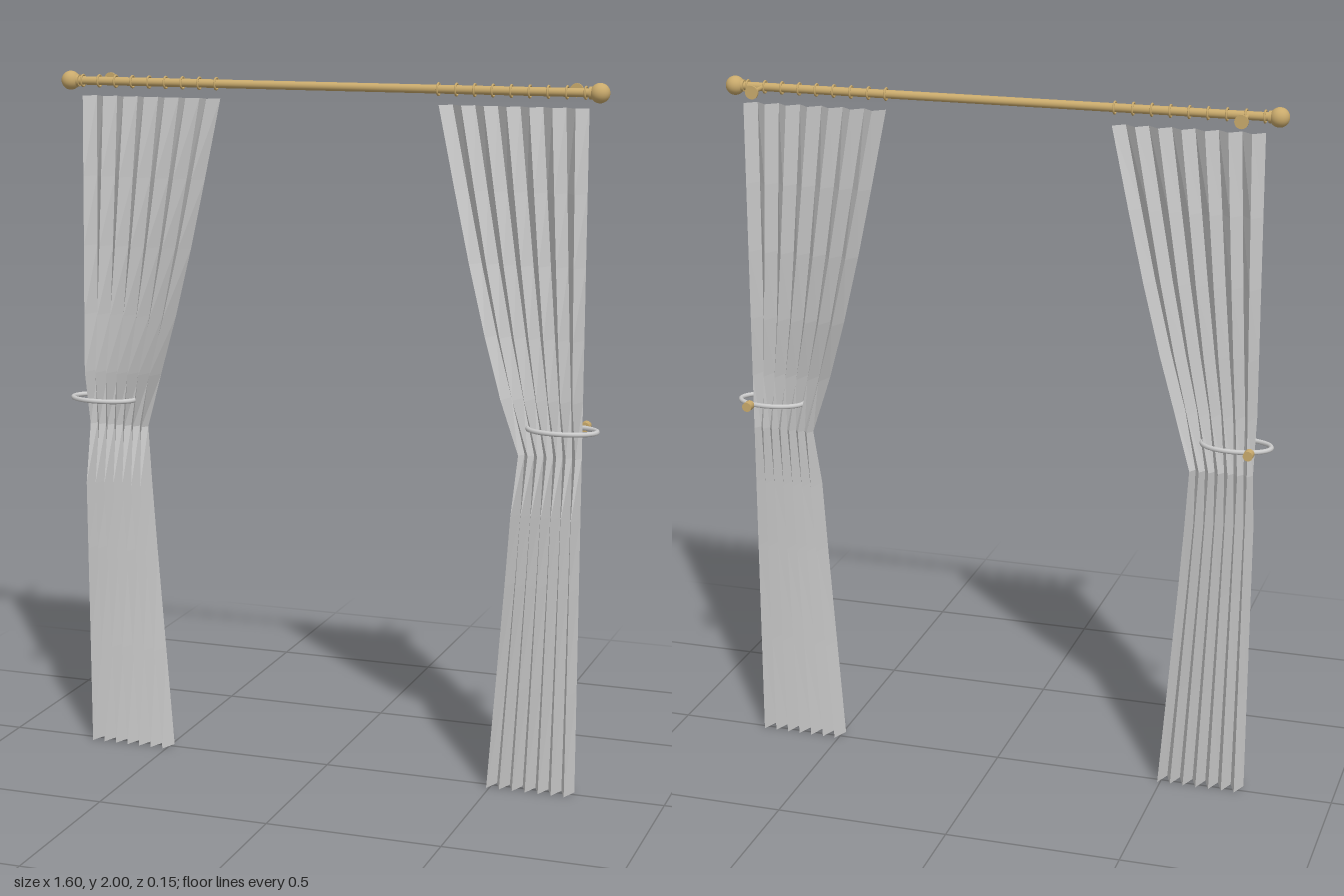
import * as THREE from 'three';

const ROD_Y = 1.973, ROD_Z = 0.012;
const brass = new THREE.MeshStandardMaterial({ color: 0xc9aa6c });
const fabric = new THREE.MeshStandardMaterial({ color: 0xcccccc, flatShading: true, side: THREE.DoubleSide });
const cord = new THREE.MeshStandardMaterial({ color: 0xcccccc });

function add(parent, name, geometry, material, x, y, z) {
  const mesh = new THREE.Mesh(geometry, material);
  mesh.name = name;
  mesh.position.set(x, y, z);
  parent.add(mesh);
  return mesh;
}

// Curtain rows from top to hem: height, inner edge, front of the folds
const ROWS = [
  [1.93, 0.325, 0.01], [1.7, 0.375, 0.017], [1.5, 0.42, 0.023], [1.3, 0.47, 0.03],
  [1.13, 0.518, 0.035], [0.97, 0.562, 0.002], [0.8, 0.552, 0.038],
  [0.6, 0.538, 0.036], [0.3, 0.515, 0.033], [0, 0.492, 0.031],
];
const OUTER = 0.738, BACK = -0.018, CREASES = 13;

// Pleated sheet: each row zigzags between its front and the common back
function curtainGeometry(side) {
  const pos = [], index = [], n = CREASES + 1;
  ROWS.forEach(([y, inner, front], r) => {
    const x0 = side < 0 ? -OUTER : inner, x1 = side < 0 ? -inner : OUTER;
    for (let i = 0; i < n; i++) {
      pos.push(x0 + (x1 - x0) * i / CREASES, y, i % 2 ? BACK : front);
      if (r && i) {
        const d = r * n + i, c = d - 1, b = d - n, a = b - 1;
        index.push(a, c, b, b, c, d);
      }
    }
  });
  const g = new THREE.BufferGeometry();
  g.setAttribute('position', new THREE.Float32BufferAttribute(pos, 3));
  g.setIndex(index);
  g.computeVertexNormals();
  return g;
}

// Closed oval loop lying flat
class Oval extends THREE.Curve {
  getPoint(t, target = new THREE.Vector3()) {
    const a = t * Math.PI * 2;
    return target.set(0.097 * Math.cos(a), 0, 0.058 * Math.sin(a));
  }
}

export function createModel() {
  const model = new THREE.Group();
  model.name = 'curtains';

  const rod = new THREE.CylinderGeometry(0.012, 0.012, 1.54, 20).rotateZ(Math.PI / 2);
  add(model, 'rod', rod, brass, 0, ROD_Y, ROD_Z);

  const ball = new THREE.SphereGeometry(0.027, 24, 16);
  const collar = new THREE.CylinderGeometry(0.017, 0.017, 0.01, 20).rotateZ(Math.PI / 2);
  const ring = new THREE.TorusGeometry(0.016, 0.003, 8, 20).rotateY(Math.PI / 2);
  const arm = new THREE.CylinderGeometry(0.006, 0.006, 0.085, 12).rotateX(Math.PI / 2);
  const plate = new THREE.CylinderGeometry(0.019, 0.019, 0.006, 20).rotateX(Math.PI / 2);
  const knob = new THREE.CylinderGeometry(0.014, 0.014, 0.026, 16).rotateX(Math.PI / 2);
  const loop = new THREE.TubeGeometry(new Oval(), 64, 0.007, 8, true);

  for (const side of [-1, 1]) {
    const half = new THREE.Group();
    half.name = side < 0 ? 'rightCurtainSet' : 'leftCurtainSet';
    model.add(half);

    // Rod end and wall bracket
    add(half, 'finial', ball, brass, side * 0.773, ROD_Y, ROD_Z);
    add(half, 'finialCollar', collar, brass, side * 0.75, ROD_Y, ROD_Z);
    add(half, 'bracketArm', arm, brass, side * 0.688, ROD_Y, -0.033);
    add(half, 'bracketPlate', plate, brass, side * 0.688, ROD_Y, -0.075);

    // Rings along the rod above the curtain
    for (let i = 0; i < 9; i++) {
      add(half, 'curtainRing', ring, brass, side * (0.325 + i * 0.0512), ROD_Y, ROD_Z);
    }

    add(half, 'curtain', curtainGeometry(side), fabric, 0, 0, 0);

    // Tieback and its wall knob
    add(half, 'tieback', loop, cord, side * 0.688, 1.052, 0.008);
    add(half, 'tiebackKnob', knob, brass, side * 0.736, 1.052, -0.064);
  }
  return model;
}
